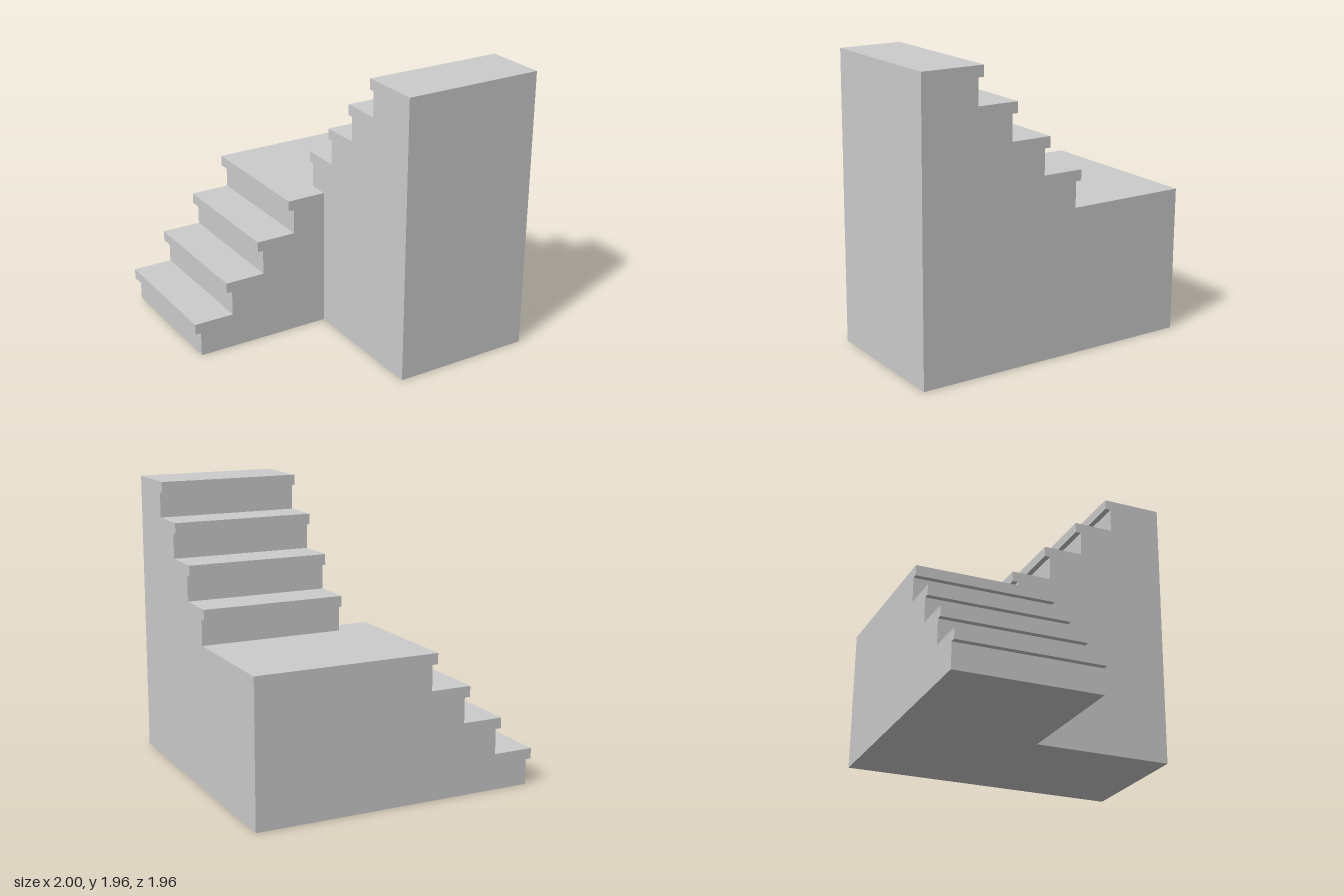
import * as THREE from 'three';

const STEPS = 4, RISE = 0.2456, RUN = 0.245, NOSE = 0.04, TREAD = 0.073;
const LANDING = STEPS * RISE;
const HALF = 0.98;   // half depth of the staircase
const INNER = 0.015; // x of the inner corner between the flights

// Adds climbing steps with overhanging nosings to a side profile
function addSteps(shape, firstNose, baseY) {
  for (let i = 0; i < STEPS; i++) {
    const nose = firstNose + i * RUN;
    const bottom = baseY + i * RISE;
    const top = bottom + RISE;
    shape.lineTo(nose + NOSE, bottom);
    shape.lineTo(nose + NOSE, top - TREAD);
    shape.lineTo(nose, top - TREAD);
    shape.lineTo(nose, top);
  }
}

export function createModel() {
  const group = new THREE.Group();
  const material = new THREE.MeshStandardMaterial({ color: 0xcccccc });

  const addSolid = (name, shape, depth) => {
    const geometry = new THREE.ExtrudeGeometry(shape, { depth, bevelEnabled: false });
    const mesh = new THREE.Mesh(geometry, material);
    mesh.name = name;
    group.add(mesh);
    return mesh;
  };

  // Lower flight: climbs along +x up to the landing
  const lower = new THREE.Shape();
  lower.moveTo(INNER, 0);
  lower.lineTo(-1 + NOSE, 0);
  addSteps(lower, -1, 0);
  lower.lineTo(INNER, LANDING);
  addSolid('lowerFlight', lower, HALF).position.z = -HALF;

  // Corner landing and upper flight: climbs along +z, profile drawn in z and y
  const upper = new THREE.Shape();
  upper.moveTo(HALF, 0);
  upper.lineTo(-HALF, 0);
  upper.lineTo(-HALF, LANDING);
  addSteps(upper, -0.185, LANDING);
  upper.lineTo(HALF, 2 * LANDING);
  const upperFlight = addSolid('landingAndUpperFlight', upper, 1 - INNER);
  upperFlight.rotation.y = -Math.PI / 2;
  upperFlight.position.x = 1;

  return group;
}
